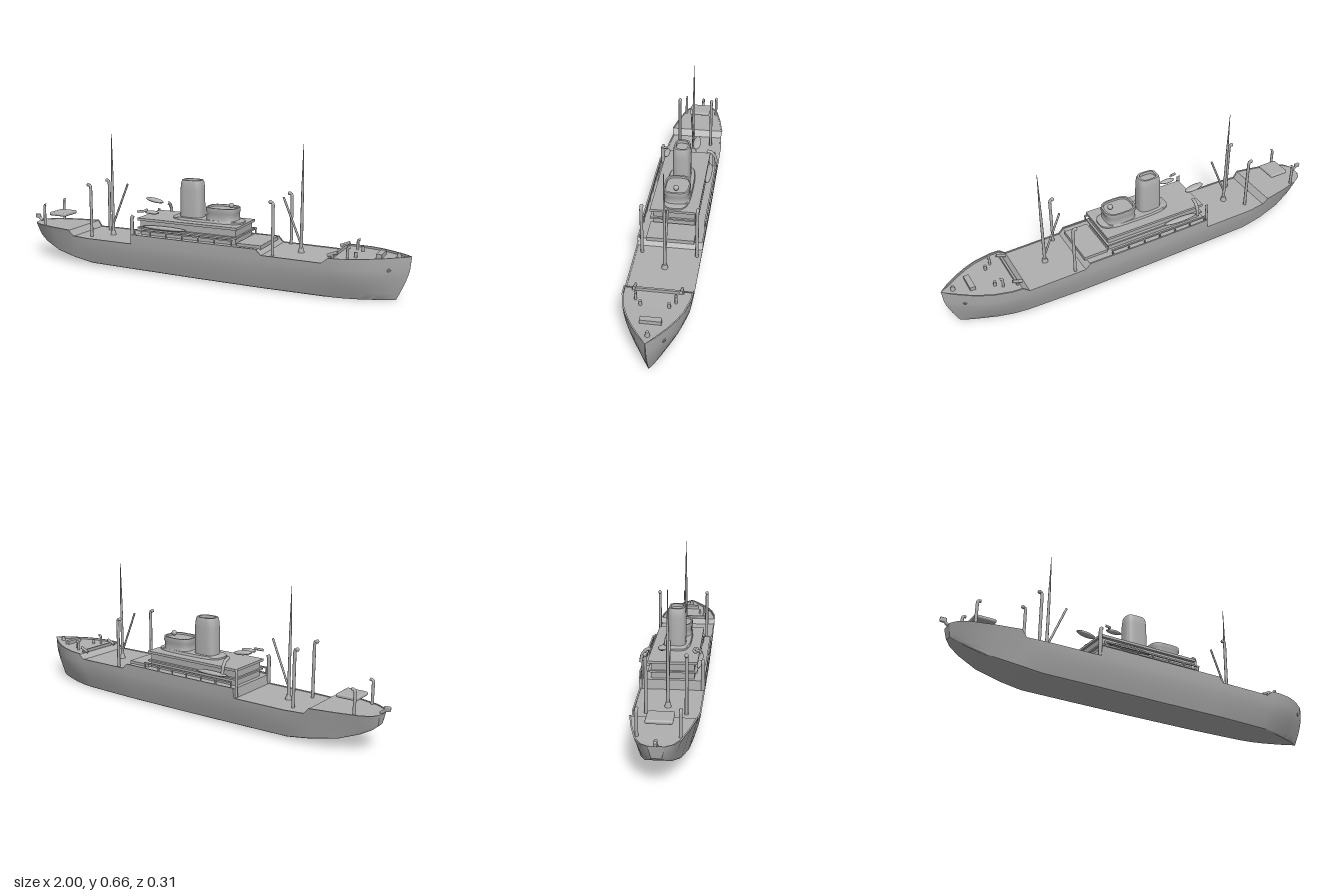
import * as THREE from 'three';
import { toCreasedNormals } from 'three/addons/utils/BufferGeometryUtils.js';
import { RoundedBoxGeometry } from 'three/addons/geometries/RoundedBoxGeometry.js';

export function createModel() {
  const ship = new THREE.Group();
  ship.name = 'cargoShip';
  const grey = new THREE.MeshStandardMaterial({ color: 0xb0b0b0 });
  grey.name = 'light grey';

  const add = (name, geo, x = 0, y = 0, z = 0) => {
    const m = new THREE.Mesh(geo, grey);
    m.name = name;
    m.position.set(x, y, z);
    ship.add(m);
    return m;
  };
  // box given by its extents
  const block = (name, x0, x1, y0, y1, z0, z1) =>
    add(name, new THREE.BoxGeometry(x1 - x0, y1 - y0, z1 - z0), (x0 + x1) / 2, (y0 + y1) / 2, (z0 + z1) / 2);
  const V = (p) => new THREE.Vector3(...p);
  const tube = (name, pts, r) =>
    add(name, new THREE.TubeGeometry(new THREE.CatmullRomCurve3(pts.map(V), false, 'catmullrom', 0.2), 20, r, 8));
  // tapered round bar between two points
  const spar = (name, a, b, r0, r1) => {
    const d = V(b).sub(V(a));
    const m = add(name, new THREE.CylinderGeometry(r1, r0, d.length(), 10));
    m.position.copy(V(a).add(V(b)).multiplyScalar(0.5));
    m.quaternion.setFromUnitVectors(new THREE.Vector3(0, 1, 0), d.normalize());
    return m;
  };
  // loft closed cross-sections [[x,y,z]...] along +x, with end caps
  const loft = (rings) => {
    const n = rings[0].length, idx = [];
    for (let i = 0; i < rings.length - 1; i++) {
      for (let j = 0; j < n; j++) {
        const a = i * n + j, b = i * n + (j + 1) % n, c = a + n, d = b + n;
        idx.push(a, c, d, a, d, b);
      }
    }
    const e = (rings.length - 1) * n;
    for (let j = 1; j < n - 1; j++) idx.push(0, j, j + 1, e, e + j + 1, e + j);
    const g = new THREE.BufferGeometry();
    g.setAttribute('position', new THREE.Float32BufferAttribute(rings.flat(2), 3));
    g.setIndex(idx);
    return toCreasedNormals(g, 0.45);
  };

  // Hull stations: deck x, keel x, deck half width, keel half width, keel y, top y, rim depth
  const stations = [
    [-0.965, -0.955, 0.037, 0.02, 0.125, 0.18, 0],
    [-0.945, -0.935, 0.072, 0.035, 0.108, 0.18, 0.003],
    [-0.90, -0.89, 0.098, 0.055, 0.085, 0.181, 0.003],
    [-0.80, -0.80, 0.123, 0.08, 0.052, 0.181, 0.003],
    [-0.69, -0.69, 0.144, 0.1, 0.032, 0.181, 0.003],
    [-0.665, -0.665, 0.146, 0.103, 0.028, 0.152, 0.003],
    [-0.57, -0.57, 0.149, 0.109, 0.015, 0.15, 0.003],
    [-0.315, -0.315, 0.151, 0.112, 0.012, 0.15, 0.003],
    [-0.31, -0.31, 0.151, 0.112, 0.012, 0.197, 0.006],
    [0, 0, 0.153, 0.113, 0.008, 0.196, 0.006],
    [0.335, 0.335, 0.152, 0.112, 0.005, 0.196, 0.006],
    [0.36, 0.36, 0.152, 0.112, 0.005, 0.17, 0.003],
    [0.64, 0.64, 0.151, 0.1, 0.002, 0.167, 0.003],
    [0.67, 0.665, 0.15, 0.097, 0.002, 0.192, 0.006],
    [0.72, 0.71, 0.148, 0.09, 0.001, 0.194, 0.008],
    [0.80, 0.78, 0.129, 0.07, 0, 0.197, 0.01],
    [0.85, 0.82, 0.107, 0.055, 0, 0.199, 0.01],
    [0.90, 0.865, 0.079, 0.038, 0, 0.2, 0.01],
    [0.96, 0.915, 0.037, 0.016, 0, 0.202, 0.01],
    [1.0, 0.94, 0.001, 0.0005, 0, 0.203, 0],
  ];
  add('hull', loft(stations.map(([xd, xk, wd, wk, yk, yd, rim]) => {
    const half = [[xk, yk, wk * 0.95]];
    // sides follow one flare curve; the stern sections are straight
    const side = (y) => {
      const v = Math.min(1, (y - yk) / (0.195 - yk));
      const f = xd < -0.6 ? v : Math.sin(v * Math.PI / 2);
      return [xk + (xd - xk) * Math.sin(v * Math.PI / 2), y, wk + (wd - wk) * f];
    };
    for (let k = 0; k <= 5; k++) half.push(side(yk + 0.004 + (0.143 - yk - 0.004) * k / 5));
    const [xe, , we] = side(yd);
    const inner = Math.max(we - 0.007, we * 0.7);
    half.push([xe, yd, we], [xe, yd, inner], [xe, yd - rim, inner]);
    return [...half, ...half.slice().reverse().map(([x, y, z]) => [x, y, -z])];
  })));

  // Midship deckhouse
  block('lowerHouse', -0.29, 0.215, 0.185, 0.265, -0.098, 0.098);
  block('boatDeck', -0.30, 0.225, 0.221, 0.229, -0.112, 0.112);
  block('houseRoof', -0.30, 0.225, 0.262, 0.274, -0.113, 0.113);
  block('forwardDeckStep', 0.225, 0.345, 0.185, 0.203, -0.11, 0.11);
  for (const s of [-1, 1]) {
    block('sideRail', -0.30, 0.22, 0.218, 0.225, s * 0.146 - 0.004, s * 0.146 + 0.004);
    for (let i = 0; i <= 6; i++) {
      const x = -0.295 + i * 0.085;
      spar('railPost', [x, 0.19, s * 0.146], [x, 0.222, s * 0.146], 0.004, 0.004);
    }
  }

  // Rounded upright prism from an oval outline of half width w; levels are [y, scale]
  const oval = (x0, x1, w, levels) => {
    const cx = (x0 + x1) / 2, hx = (x1 - x0) / 2, n = 32, pos = [], idx = [];
    levels.forEach(([y, s]) => {
      for (let j = 0; j < n; j++) {
        const a = j / n * Math.PI * 2, c = Math.cos(a), q = Math.sin(a);
        pos.push(cx + hx * s * Math.sign(c) * Math.abs(c) ** 0.6, y, w * s * Math.sign(q) * Math.abs(q) ** 0.6);
      }
    });
    for (let i = 0; i < levels.length - 1; i++) {
      for (let j = 0; j < n; j++) {
        const a = i * n + j, b = i * n + (j + 1) % n;
        idx.push(a, a + n, b + n, a, b + n, b);
      }
    }
    const e = (levels.length - 1) * n;
    for (let j = 1; j < n - 1; j++) idx.push(e, e + j + 1, e + j);
    const g = new THREE.BufferGeometry();
    g.setAttribute('position', new THREE.Float32BufferAttribute(pos, 3));
    g.setIndex(idx);
    return toCreasedNormals(g, 0.7);
  };
  add('upperHouse', oval(-0.15, 0.215, 0.066, [[0.265, 1], [0.282, 1], [0.286, 0.96]]));
  add('bridge', oval(0.03, 0.185, 0.061, [[0.28, 1.02], [0.29, 0.97], [0.318, 0.97], [0.326, 1.02], [0.345, 1], [0.345, 0.88], [0.336, 0.86]]));
  add('searchlight', new THREE.SphereGeometry(0.013, 14, 10), 0.15, 0.354, 0);
  add('funnel', oval(-0.112, 0.004, 0.043, [[0.27, 1], [0.42, 0.98], [0.452, 0.92], [0.464, 0.84], [0.464, 0.66], [0.45, 0.64]]));

  // Masts with a boom each
  for (const [x, y, bx] of [[-0.51, 0.145, -0.42], [0.5, 0.162, 0.41]]) {
    spar('mast', [x, y, 0], [x, 0.45, 0], 0.008, 0.006);
    spar('topmast', [x, 0.45, 0], [x, 0.663, 0], 0.006, 0.001);
    spar('mastFoot', [x, y, 0], [x, y + 0.025, 0], 0.016, 0.01);
    spar('boom', [x, 0.20, 0], [bx, 0.415, 0], 0.005, 0.005);
  }

  // Tall ventilator posts with hooked tops
  for (const [x, y, z] of [[-0.585, 0.145, -0.085], [-0.585, 0.145, 0.085], [0.405, 0.162, -0.13], [0.405, 0.162, 0.118]]) {
    tube('ventPost', [[x, y, z], [x, 0.38, z], [x, 0.402, z], [x - 0.005, 0.411, z], [x - 0.015, 0.412, z]], 0.0075);
    add('ventHead', new THREE.SphereGeometry(0.009, 10, 8), x - 0.013, 0.411, z);
  }

  // Lifeboats, with curved davits
  const boat = (x, y, z, l, h, w, tilt = 0) => {
    const m = add('lifeboat', new THREE.SphereGeometry(1, 18, 12), x, y, z);
    m.scale.set(l, h, w);
    m.rotation.z = tilt;
  };
  boat(-0.29, 0.336, -0.045, 0.05, 0.011, 0.02, -0.15);
  boat(-0.225, 0.306, 0.1, 0.04, 0.009, 0.015);
  boat(-0.17, 0.236, -0.12, 0.09, 0.01, 0.016);
  boat(-0.15, 0.236, 0.115, 0.12, 0.01, 0.014);
  tube('davit', [[-0.25, 0.318, -0.1], [-0.25, 0.31, -0.125], [-0.25, 0.285, -0.143], [-0.25, 0.252, -0.149]], 0.008);
  tube('davit', [[-0.25, 0.318, 0.1], [-0.26, 0.312, 0.122], [-0.29, 0.31, 0.13]], 0.006);
  tube('davitPost', [[-0.315, 0.15, 0.138], [-0.315, 0.275, 0.138], [-0.308, 0.29, 0.135]], 0.009);
  tube('davitPost', [[-0.315, 0.15, -0.13], [-0.315, 0.265, -0.13], [-0.31, 0.28, -0.128]], 0.007);

  // Stern fittings
  add('sternPlatform', new RoundedBoxGeometry(0.1, 0.018, 0.11, 3, 0.008), -0.82, 0.233, 0);
  for (const s of [-1, 1]) {
    tube('sternVent', [[-0.875, 0.175, s * 0.085], [-0.875, 0.275, s * 0.085], [-0.87, 0.287, s * 0.085], [-0.86, 0.287, s * 0.085]], 0.007);
  }
  spar('sternStaff', [-0.955, 0.18, 0], [-0.995, 0.21, 0], 0.008, 0.006);
  add('sternLamp', new RoundedBoxGeometry(0.03, 0.022, 0.014, 2, 0.005), -0.983, 0.203, 0);

  // Forecastle fittings
  block('breakwater', 0.675, 0.685, 0.18, 0.2, -0.11, 0.11);
  block('bowHatch', 0.855, 0.88, 0.185, 0.207, -0.045, 0.045);
  for (const s of [-1, 1]) {
    tube('bowVent', [[0.74, 0.18, s * 0.085], [0.74, 0.225, s * 0.085], [0.746, 0.233, s * 0.085], [0.753, 0.233, s * 0.085]], 0.006);
    spar('bollard', [0.77, 0.18, s * 0.06], [0.77, 0.21, s * 0.06], 0.007, 0.007);
    const w = spar('winch', [0.655, 0.192, s * 0.1], [0.7, 0.21, s * 0.1], 0.008, 0.008);
    w.scale.z = 0.8;
    // hawse pipes near the stem
    const h = add('hawsePipe', new THREE.TorusGeometry(0.006, 0.003, 8, 14), 0.917, 0.145, s * 0.062);
    h.rotation.y = s * 0.6;
  }
  spar('stemPost', [0.945, 0.185, 0], [0.945, 0.213, 0], 0.012, 0.007);

  return ship;
}
